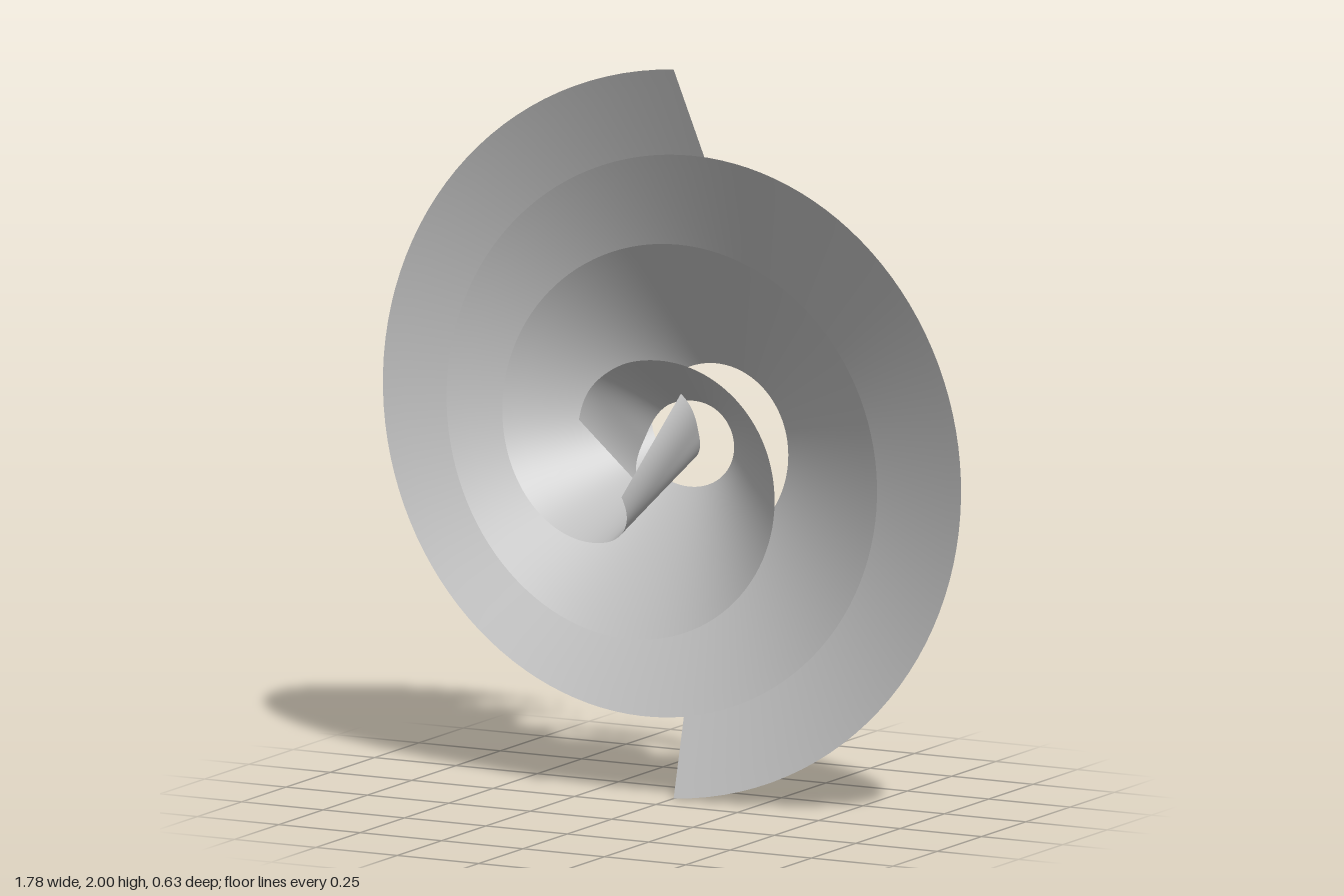
import * as THREE from 'three';

// Rim stations of one arm: [degrees turned from the top, radius, z]
const OUTER = [
  [0, 1.0, -0.1], [90, 0.885, -0.09], [180, 0.772, -0.065], [270, 0.657, -0.03],
  [360, 0.542, 0.035], [450, 0.407, 0.11], [520, 0.275, 0.195], [540, 0.235, 0.225],
  [558, 0.185, 0.27], [573, 0.12, 0.314],
];
const INNER = [
  [-5, 0.552, -0.314], [84, 0.455, -0.304], [172, 0.36, -0.292], [262, 0.255, -0.28],
  [350, 0.175, -0.255], [435, 0.13, -0.21], [520, 0.087, -0.17], [570, 0.08, -0.145],
  [640, 0.083, -0.09], [693, 0.145, -0.02],
];

// Smooth spiral edge through the stations, returned as a function of u in 0..1
function spiralEdge(stations) {
  const curve = new THREE.CatmullRomCurve3(
    stations.map((s) => new THREE.Vector3(...s)), false, 'catmullrom', 0.5);
  return (u) => {
    const p = curve.getPoint(u);
    const a = THREE.MathUtils.degToRad(90 + p.x);
    return new THREE.Vector3(p.y * Math.cos(a), p.y * Math.sin(a), p.z);
  };
}

// Ruled sheet stretched between the two spiral edges
function spiralSheet(along = 270, across = 8) {
  const outer = spiralEdge(OUTER);
  const inner = spiralEdge(INNER);
  const geometry = new THREE.PlaneGeometry(1, 1, across, along);
  const position = geometry.attributes.position;
  for (let j = 0, k = 0; j <= along; j++) {
    const a = outer(j / along);
    const b = inner(j / along);
    for (let i = 0; i <= across; i++, k++) {
      const p = a.clone().lerp(b, i / across);
      position.setXYZ(k, p.x, p.y, p.z);
    }
  }
  geometry.computeVertexNormals();
  return geometry;
}

export function createModel() {
  const model = new THREE.Group();
  model.name = 'doubleSpiral';
  const grey = new THREE.MeshStandardMaterial({ color: 0xbfbfbf, side: THREE.DoubleSide });
  grey.name = 'grey';

  // Two identical arms, half a turn apart about the z axis
  const geometry = spiralSheet();
  ['upperSpiralArm', 'lowerSpiralArm'].forEach((name, i) => {
    const arm = new THREE.Mesh(geometry, grey);
    arm.name = name;
    arm.position.y = 1;
    arm.rotation.z = i * Math.PI;
    model.add(arm);
  });
  return model;
}
